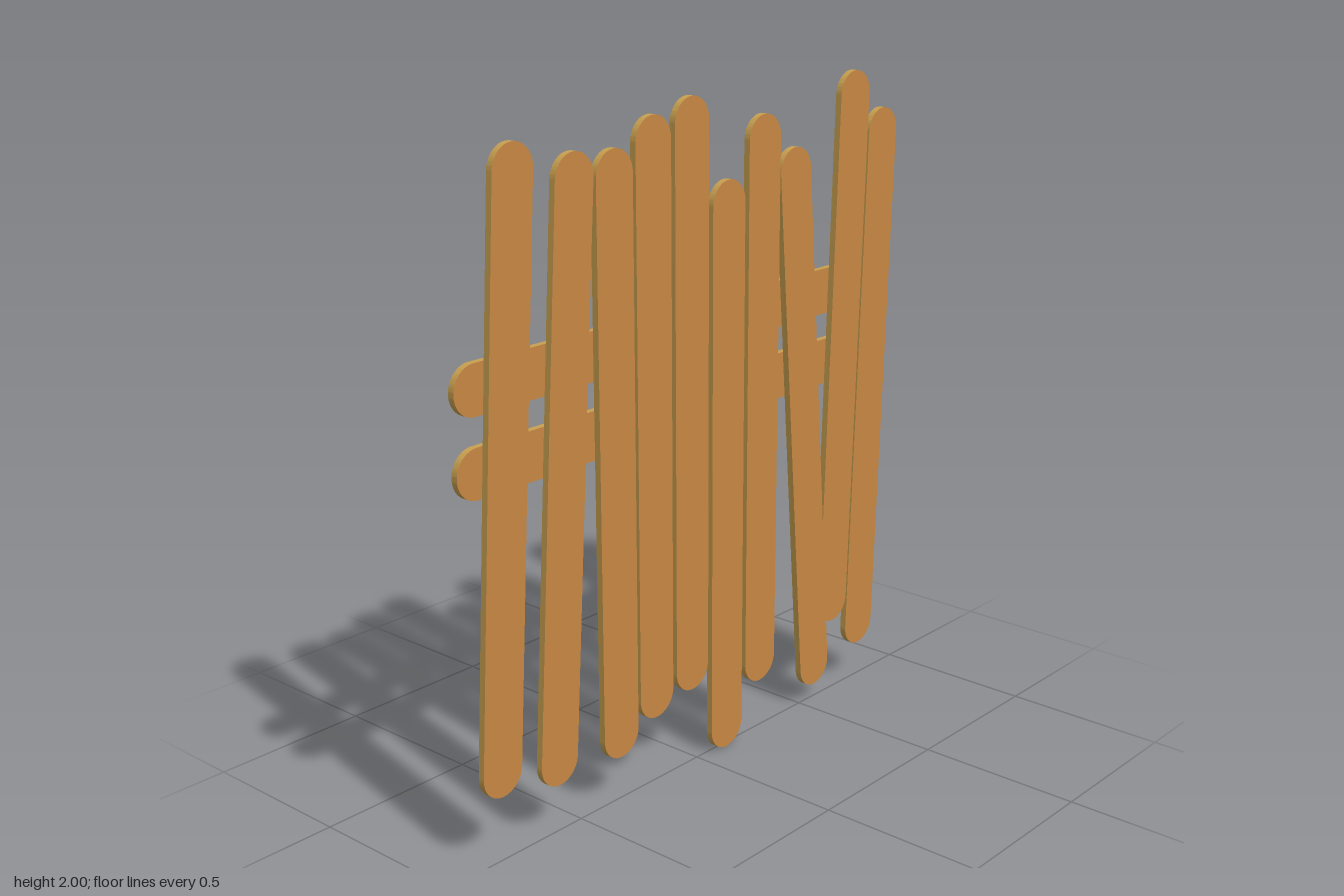
import * as THREE from 'three';
import { toCreasedNormals } from 'three/addons/utils/BufferGeometryUtils.js';

const RADIUS = 0.07;
const THICKNESS = 0.02;

export function createModel() {
  const group = new THREE.Group();
  group.name = 'stickFence';

  const face = new THREE.MeshStandardMaterial({ color: 0xc68642 });
  face.name = 'woodFace';
  const edge = new THREE.MeshStandardMaterial({ color: 0xc8a050 });
  edge.name = 'woodEdge';

  // Flat round-ended stick between two cap centres, back face at z
  function addStick(name, x0, y0, x1, y1, z) {
    const half = Math.hypot(x1 - x0, y1 - y0) / 2;
    const shape = new THREE.Shape();
    shape.absarc(0, half, RADIUS, 0, Math.PI);
    shape.absarc(0, -half, RADIUS, Math.PI, Math.PI * 2);
    shape.closePath();
    const geometry = new THREE.ExtrudeGeometry(shape, {
      depth: THICKNESS, bevelEnabled: false, curveSegments: 20,
    });
    const stick = new THREE.Mesh(toCreasedNormals(geometry, 0.6), [face, edge]);
    stick.name = name;
    stick.position.set((x0 + x1) / 2, (y0 + y1) / 2, z);
    stick.rotation.z = Math.atan2(x0 - x1, y1 - y0);
    group.add(stick);
  }

  // Upright slats: bottom x, lowest y, top x, highest y
  const slats = [
    [-0.811, 0.206, -0.711, 1.952],
    [-0.598, 0.156, -0.497, 1.902],
    [-0.349, 0.146, -0.349, 1.892],
    [-0.198, 0.217, -0.198, 1.963],
    [-0.042, 0.25, -0.042, 1.997],
    [0.116, 0.003, 0.116, 1.75],
    [0.273, 0.17, 0.273, 1.916],
    [0.55, 0.06, 0.416, 1.805],
    [0.642, 0.252, 0.697, 2.0],
    [0.784, 0.129, 0.841, 1.876],
  ];
  slats.forEach(([x0, y0, x1, y1], i) =>
    addStick(`slat${i + 1}`, x0, y0 + RADIUS, x1, y1 - RADIUS, 0));

  // Two level rails behind the slats
  addStick('upperRail', -0.845, 1.345, 0.762, 1.345, -THICKNESS);
  addStick('lowerRail', -0.845, 1.124, 0.762, 1.124, -THICKNESS);

  return group;
}
